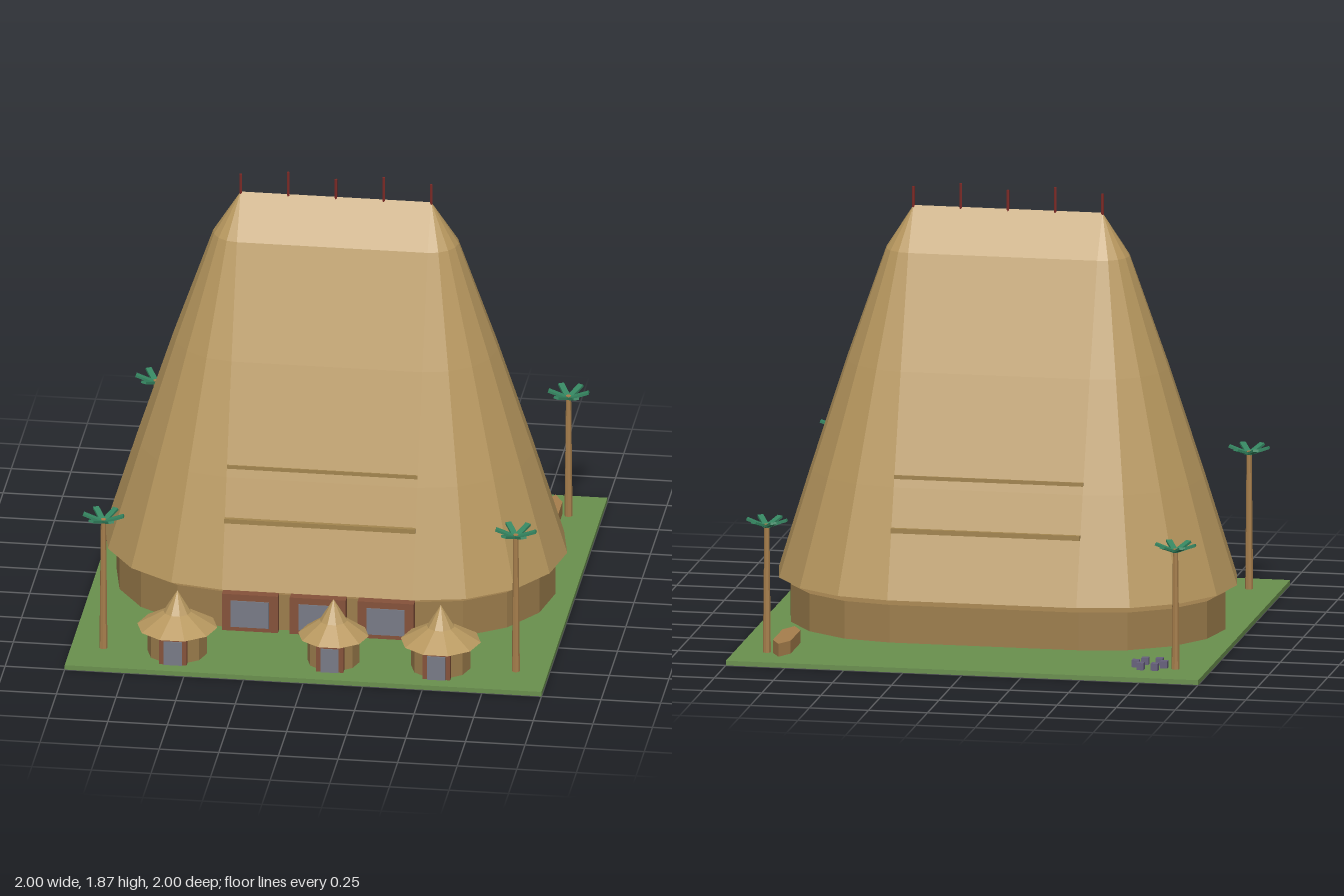
import * as THREE from 'three';

const mat = (name, color) => Object.assign(new THREE.MeshStandardMaterial({ color, flatShading: true }), { name });
const M = {
  grass: mat('grass', 0x6a904e),
  thatch: mat('thatch', 0xb8985f),
  trim: mat('thatch trim', 0xa3854f),
  wall: mat('reed wall', 0x9c7d4c),
  frame: mat('door frame', 0x85523a),
  panel: mat('grey panel', 0x787b86),
  pole: mat('ridge pole', 0x7c2a26),
  wood: mat('wood', 0xa67e4c),
  leaf: mat('palm leaf', 0x348560),
  stone: mat('stone', 0x66607c),
};

function add(parent, name, geo, material, x = 0, y = 0, z = 0) {
  const m = new THREE.Mesh(geo, material);
  m.name = name;
  m.position.set(x, y, z);
  parent.add(m);
  return m;
}

function group(parent, name, x = 0, y = 0, z = 0) {
  const g = new THREE.Group();
  g.name = name;
  g.position.set(x, y, z);
  parent.add(g);
  return g;
}

const box = (w, h, d) => new THREE.BoxGeometry(w, h, d);

// Closed loft through round-ended rings [radius, y], with straight sides of half length L
function stadiumLoft(rings, L, n = 8) {
  const loops = rings.map(([r, y]) => {
    const pts = [];
    for (const s of [1, -1]) {
      for (let i = 0; i <= n; i++) {
        const a = -Math.PI / 2 + (i * Math.PI) / n;
        pts.push(new THREE.Vector3(s * (L + r * Math.cos(a)), y, s * r * Math.sin(a)));
      }
    }
    return pts;
  });
  const out = [];
  const tri = (...t) => {
    if (new THREE.Triangle(...t).getArea() > 1e-8) t.forEach((p) => out.push(p));
  };
  const count = loops[0].length;
  for (let i = 0; i < count; i++) {
    const j = (i + 1) % count;
    for (let k = 0; k + 1 < loops.length; k++) {
      const p = loops[k], q = loops[k + 1];
      tri(p[i], q[i], q[j]);
      tri(p[i], q[j], p[j]);
    }
    const bottom = loops[0], top = loops[loops.length - 1];
    tri(new THREE.Vector3(0, bottom[0].y, 0), bottom[i], bottom[j]);
    tri(new THREE.Vector3(0, top[0].y, 0), top[j], top[i]);
  }
  const g = new THREE.BufferGeometry().setFromPoints(out);
  g.computeVertexNormals();
  return g;
}

// Small round hut with a two-slope roof and a framed doorway
function hut(parent, x, wallR, roofR) {
  const g = group(parent, 'hut', x, 0, 0.8);
  const round = (name, geo, material, y) => { add(g, name, geo, material, 0, y, 0).rotation.y = Math.PI / 2; };
  round('hutWall', new THREE.CylinderGeometry(wallR, wallR, 0.125, 10), M.wall, 0.0825);
  round('hutRoof', new THREE.CylinderGeometry(0.058, roofR, 0.065, 10), M.thatch, 0.1725);
  round('hutRoofTip', new THREE.ConeGeometry(0.058, 0.095, 10), M.thatch, 0.2525);
  add(g, 'hutDoorFrame', box(0.115, 0.125, 0.03), M.frame, 0, 0.0825, wallR - 0.005);
  add(g, 'hutDoor', box(0.076, 0.105, 0.008), M.panel, 0, 0.0725, wallR + 0.012);
}

// Palm with six rising leaves
function palm(parent, x, z, height) {
  const g = group(parent, 'palm', x, 0, z);
  add(g, 'palmTrunk', new THREE.CylinderGeometry(0.011, 0.017, height - 0.02, 8), M.wood, 0, (height + 0.02) / 2, 0);
  for (let i = 0; i < 6; i++) {
    const leaf = box(0.085, 0.01, 0.025).translate(0.0475, 0, 0).rotateZ(0.35).rotateY((i * Math.PI) / 3);
    add(g, 'palmLeaf', leaf, M.leaf, 0, height - 0.012, 0);
  }
}

export function createModel() {
  const model = new THREE.Group();
  model.name = 'thatchedHall';

  add(model, 'ground', box(2, 0.02, 2), M.grass, 0, 0.01, 0);

  // Great hall: low wall and tall thatched roof
  const hall = group(model, 'hall');
  add(hall, 'hallWall', stadiumLoft([[0.52, 0.02], [0.52, 0.18]], 0.4), M.wall);
  add(hall, 'hallRoof', stadiumLoft(
    [[0.57, 0.21], [0.43, 0.66], [0.28, 1.12], [0.115, 1.59], [0, 1.77]], 0.4), M.thatch);

  // Binding strips along both long sides of the roof
  for (const s of [1, -1]) {
    add(hall, 'lowerStrip', box(0.8, 0.02, 0.02), M.trim, 0, 0.49, s * 0.488);
    add(hall, 'upperStrip', box(0.8, 0.02, 0.02), M.trim, 0, 0.7, s * 0.409);
  }

  // Ridge poles, alternating in height
  for (let i = 0; i < 5; i++) {
    const h = i % 2 ? 0.12 : 0.1;
    add(hall, 'ridgePole', new THREE.CylinderGeometry(0.006, 0.006, h, 6), M.pole, -0.4 + i * 0.2, 1.75 + h / 2, 0);
  }

  // Three framed doorways at the front
  for (const x of [-0.285, 0, 0.285]) {
    add(hall, 'hallDoorFrame', box(0.235, 0.165, 0.04), M.frame, x, 0.1025, 0.535);
    add(hall, 'hallDoor', box(0.16, 0.118, 0.008), M.panel, x, 0.098, 0.556);
  }

  hut(model, -0.555, 0.125, 0.168);
  hut(model, 0.1, 0.11, 0.148);
  hut(model, 0.55, 0.125, 0.168);

  palm(model, 0.865, 0.8, 0.64);
  palm(model, -0.865, 0.8, 0.605);
  palm(model, 0.865, -0.8, 0.565);
  palm(model, -0.865, -0.8, 0.53);

  // Canoe with pointed ends
  const hull = new THREE.Shape([[0, 0.177], [-0.038, 0.105], [-0.038, -0.105], [0, -0.177], [0.038, -0.105], [0.038, 0.105]]
    .map(([x, y]) => new THREE.Vector2(x, y)));
  const canoe = new THREE.ExtrudeGeometry(hull, { depth: 0.055, bevelEnabled: false }).rotateX(-Math.PI / 2);
  add(model, 'canoe', canoe, M.wood, 0.8, 0.02, -0.705);

  // Ring of hearth stones
  for (let i = 0; i < 6; i++) {
    const a = (i * Math.PI) / 3;
    add(model, 'hearthStone', box(0.03, 0.03, 0.03), M.stone,
      -0.755 + 0.06 * Math.cos(a), 0.035, -0.787 + 0.06 * Math.sin(a));
  }

  return model;
}
